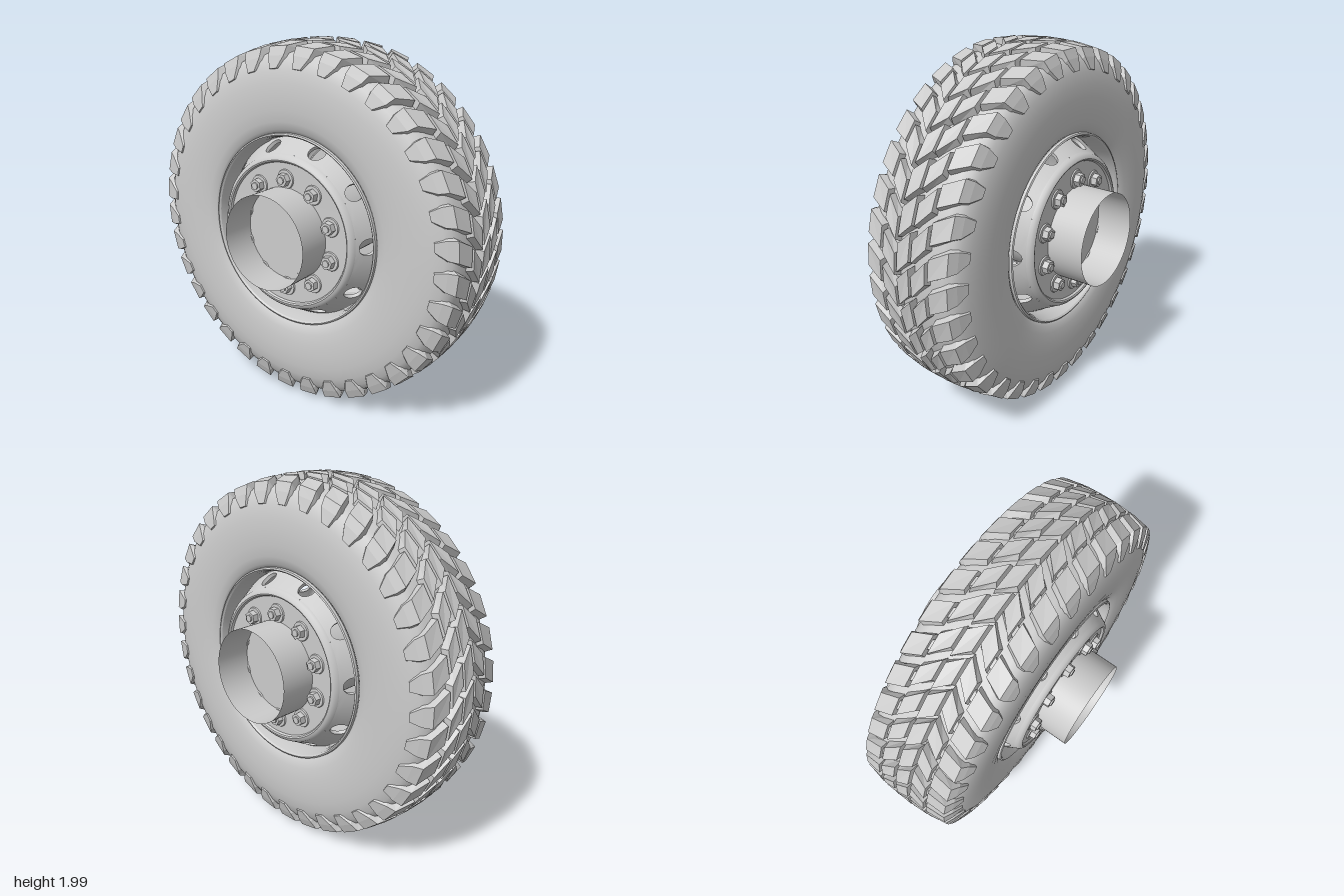
import * as THREE from 'three';
import { mergeGeometries, mergeVertices, toCreasedNormals } from 'three/addons/utils/BufferGeometryUtils.js';

// Everything is built around the y axis, then the wheel is tipped so its axle lies on x.
const smooth = new THREE.MeshStandardMaterial({ color: 0xcccccc, side: THREE.DoubleSide });
const faceted = new THREE.MeshStandardMaterial({ color: 0xcccccc, flatShading: true });
const PITCHES = 36;
const STEP = (Math.PI * 2) / PITCHES;

function mesh(name, geometry, material = smooth) {
  const m = new THREE.Mesh(geometry, material);
  m.name = name;
  return m;
}

const polar = (r, a, h) => [r * Math.cos(a), h, r * Math.sin(a)];

// Profile points are [radius, height along the axle]
function lathe(points, crease = 0.5, segments = 96) {
  const g = new THREE.LatheGeometry(points.map(([r, h]) => new THREE.Vector2(r, h)), segments);
  return toCreasedNormals(g, crease);
}

// Lower half of a symmetric profile, followed by its mirror image
const mirrored = (half) => [...half.map(([r, h]) => [r, -h]), ...half.slice().reverse()];

// One tread block lofted through stations
// [height, top radius, base height, base radius, angle, top width, base width] (angles in pitches)
function treadBlock(stations, side = 1) {
  const pos = [];
  const rings = stations.map(([h, rt, hb, rb, a, wt, wb]) => [
    polar(rb, (a - wb / 2) * STEP, hb * side),
    polar(rt, (a - wt / 2) * STEP, h * side),
    polar(rt, (a + wt / 2) * STEP, h * side),
    polar(rb, (a + wb / 2) * STEP, hb * side),
  ]);
  const quad = (a, b, c, d) => {
    const q = side > 0 ? [a, b, c, a, c, d] : [a, c, b, a, d, c];
    q.forEach((p) => pos.push(...p));
  };
  quad(...rings[0]);
  quad(...rings[rings.length - 1].slice().reverse());
  for (let i = 0; i < rings.length - 1; i++) {
    for (let k = 0; k < 4; k++) {
      const n = (k + 1) % 4;
      quad(rings[i][k], rings[i + 1][k], rings[i + 1][n], rings[i][n]);
    }
  }
  const g = new THREE.BufferGeometry();
  g.setAttribute('position', new THREE.Float32BufferAttribute(pos, 3));
  g.computeVertexNormals();
  return g;
}

function treadRow(name, stations, side, shift) {
  const base = treadBlock(stations, side);
  const copies = [];
  for (let i = 0; i < PITCHES; i++) copies.push(base.clone().rotateY(-(i + shift) * STEP));
  return mesh(name, mergeGeometries(copies), faceted);
}

// Sloped ring of the wheel disc: each sector is a fan of loops from a vent hole to the sector edge
function ventedSlope(count) {
  const N = 32, ROWS = 5, pos = [], index = [];
  const half = Math.PI / count;
  for (let k = 0; k < count; k++) {
    const start = pos.length / 3;
    const mid = (2 * k + 1) * half;
    for (let v = -1; v < ROWS; v++) {
      const t = Math.max(v, 0) / (ROWS - 1);
      const depth = v < 0 ? 0.02 : 0; // first loop forms the wall of the hole
      for (let u = 0; u < N; u++) {
        const c = Math.cos((u / N) * Math.PI * 2), s = Math.sin((u / N) * Math.PI * 2);
        const m = Math.max(Math.abs(c), Math.abs(s));
        const a = THREE.MathUtils.lerp(0.095 * c, (half * c) / m, t);
        const w = 0.5 + THREE.MathUtils.lerp(0.36 * s, (0.5 * s) / m, t);
        pos.push(...polar(0.5 - 0.07 * w - depth * 0.87, mid + a, 0.17 + 0.125 * w - depth * 0.49));
      }
    }
    for (let v = 0; v < ROWS; v++) {
      for (let u = 0; u < N; u++) {
        const n = (u + 1) % N;
        const a = start + v * N + u, b = start + v * N + n;
        index.push(a, b, a + N, b, b + N, a + N);
      }
    }
  }
  const g = new THREE.BufferGeometry();
  g.setAttribute('position', new THREE.Float32BufferAttribute(pos, 3));
  g.setIndex(index);
  return toCreasedNormals(mergeVertices(g, 1e-4), 0.6);
}

function wheelNut() {
  const nut = new THREE.Group();
  nut.name = 'wheelNut';
  const add = (name, r1, r2, h0, h1, sides, mat) => {
    const m = mesh(name, new THREE.CylinderGeometry(r1, r2, h1 - h0, sides), mat);
    m.position.y = (h0 + h1) / 2;
    nut.add(m);
  };
  add('washer', 0.05, 0.054, 0, 0.01, 24, smooth);
  add('hexNut', 0.035, 0.037, 0.01, 0.042, 6, faceted);
  add('stud', 0.019, 0.019, 0.04, 0.05, 12, smooth);
  return nut;
}

// One face of the wheel: domed ring, mounting plate, vented slope and nuts
function wheelFace(name) {
  const face = new THREE.Group();
  face.name = name;
  face.add(mesh('ventedSlope', ventedSlope(10)));
  face.add(mesh('mountingPlate', lathe([
    [0.43, 0.295], [0.424, 0.31], [0.412, 0.322], [0.4, 0.326], [0.392, 0.322], [0.386, 0.31], [0, 0.308],
  ])));
  const hub = mesh('hubPlate', new THREE.CylinderGeometry(0.222, 0.225, 0.01, 20));
  hub.position.y = 0.307;
  face.add(hub);
  for (let i = 0; i < 10; i++) {
    const nut = wheelNut();
    nut.position.set(...polar(0.3, (i * Math.PI) / 5, 0.307));
    nut.rotation.y = (-i * Math.PI) / 5;
    face.add(nut);
  }
  return face;
}

export function createModel() {
  const wheel = new THREE.Group();
  wheel.name = 'wheel';

  // Tyre body with rounded sidewalls
  const tyre = mirrored([
    [0.525, 0.24], [0.53, 0.262], [0.55, 0.277], [0.59, 0.288], [0.65, 0.295], [0.72, 0.297],
    [0.79, 0.293], [0.85, 0.283], [0.9, 0.266], [0.932, 0.242], [0.948, 0.2], [0.956, 0.1],
  ]);
  wheel.add(mesh('tyreBody', lathe(tyre, 0.8, 120)));

  // Tread: zigzag centre rib plus slanted middle and shoulder blocks on both sides
  wheel.add(treadRow('centreTread', [
    [-0.036, 0.998, -0.044, 0.945, -0.2, 0.8, 0.92],
    [0.036, 0.998, 0.044, 0.945, 0.2, 0.8, 0.92],
  ], 1, 0));
  const middle = [
    [0.052, 0.997, 0.046, 0.945, 0.1, 0.62, 0.8],
    [0.132, 0.992, 0.138, 0.94, 0.6, 0.62, 0.8],
  ];
  const shoulder = [
    [0.15, 0.99, 0.144, 0.94, 0.72, 0.62, 0.78],
    [0.25, 0.972, 0.225, 0.925, 1.02, 0.66, 0.8],
    [0.27, 0.925, 0.25, 0.9, 1.06, 0.62, 0.76],
    [0.288, 0.862, 0.27, 0.855, 1.15, 0.3, 0.4],
  ];
  // Short tie bars bridging the groove between middle and shoulder blocks
  const tie = [
    [0.125, 0.972, 0.125, 0.94, 0.6, 0.3, 0.36],
    [0.16, 0.972, 0.16, 0.94, 0.75, 0.3, 0.36],
  ];
  for (const [side, label, shift] of [[1, 'left', 0], [-1, 'right', 0.5]]) {
    wheel.add(treadRow(label + 'MiddleTread', middle, side, shift));
    wheel.add(treadRow(label + 'ShoulderTread', shoulder, side, shift));
    wheel.add(treadRow(label + 'TieBars', tie, side, shift));
  }

  // Rim barrel with its flanges, and the open axle tube
  wheel.add(mesh('rimBarrel', lathe(mirrored([
    [0.532, 0.265], [0.53, 0.28], [0.522, 0.284], [0.514, 0.275], [0.506, 0.24], [0.5, 0.17],
  ]))));
  wheel.add(mesh('axleTube', new THREE.CylinderGeometry(0.255, 0.255, 1.024, 64, 1, true)));

  const left = wheelFace('leftWheelFace');
  const right = wheelFace('rightWheelFace');
  right.rotation.x = Math.PI;
  right.position.y = -0.008;
  wheel.add(left, right);

  wheel.rotation.z = -Math.PI / 2;
  wheel.position.y = 1;
  const model = new THREE.Group();
  model.name = 'truckWheel';
  model.add(wheel);
  return model;
}
